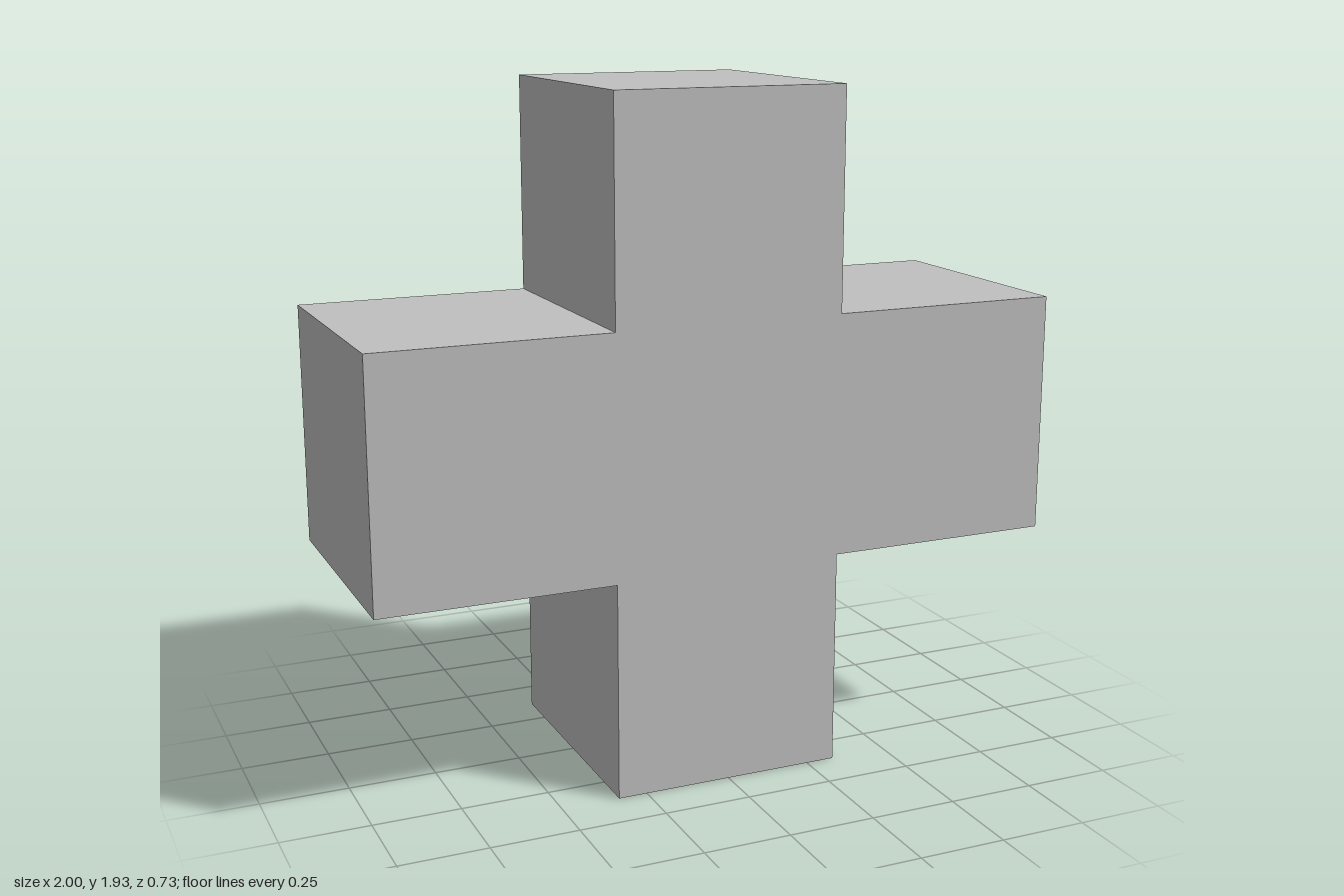
import * as THREE from 'three';

export function createModel() {
  const group = new THREE.Group();
  group.name = 'cross';

  const grey = new THREE.MeshStandardMaterial({ color: 0xc0c0c0 });
  grey.name = 'light grey';

  const armX = 1, postX = 0.333; // half widths of the crossbar and the post
  const low = 0.62, high = 1.31, top = 1.93; // crossbar underside, crossbar top, post top
  const depth = 0.73;

  // Right half of the outline, mirrored for the left half
  const half = [[postX, 0], [postX, low], [armX, low], [armX, high], [postX, high], [postX, top]];
  const outline = [...half, ...half.map(([x, y]) => [-x, y]).reverse()];
  const shape = new THREE.Shape(outline.map(([x, y]) => new THREE.Vector2(x, y)));

  // Solid cross, centred front to back
  const geometry = new THREE.ExtrudeGeometry(shape, { depth, bevelEnabled: false });
  geometry.translate(0, 0, -depth / 2);
  const body = new THREE.Mesh(geometry, grey);
  body.name = 'crossBody';
  group.add(body);

  return group;
}
